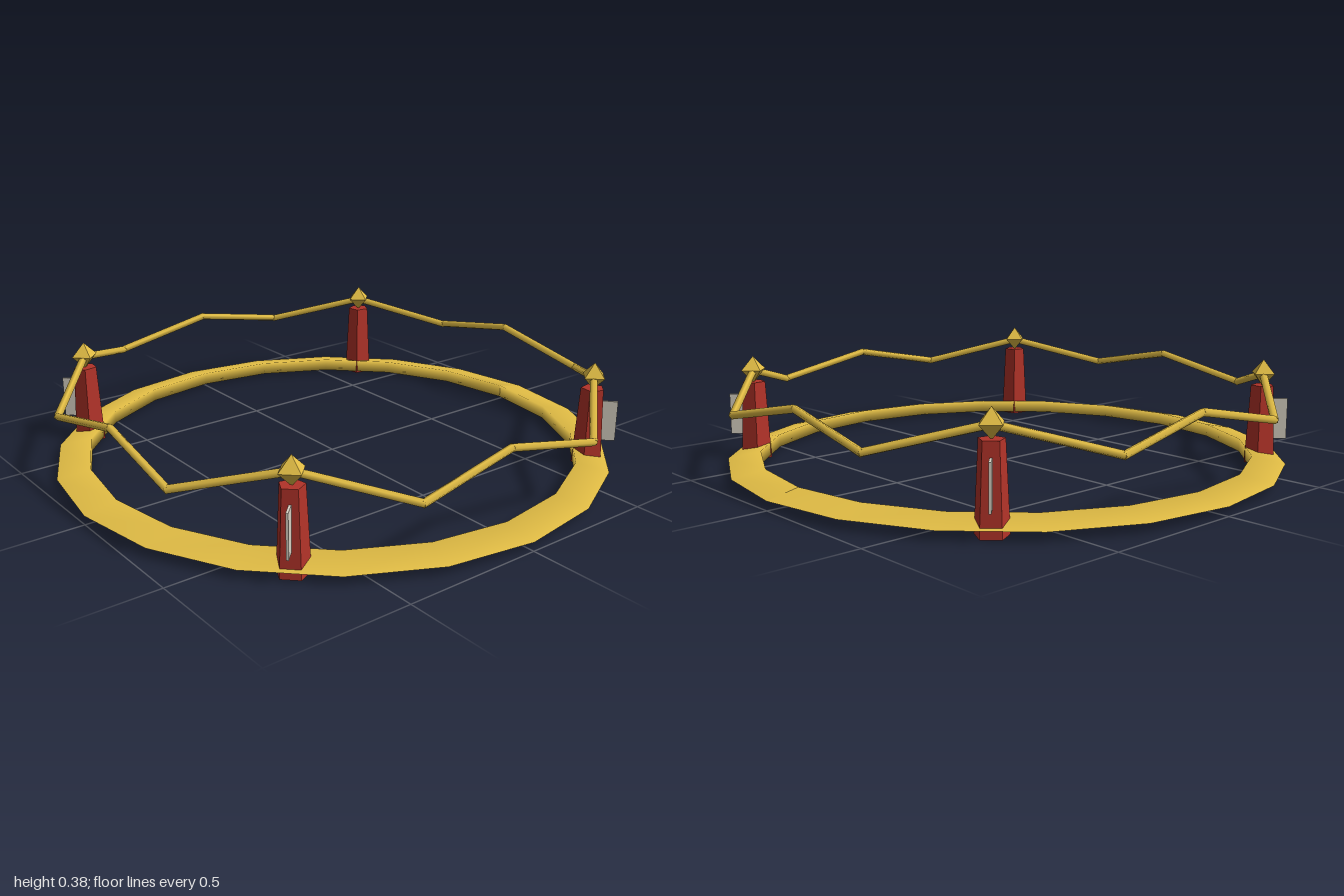
import * as THREE from 'three';

const gold = new THREE.MeshStandardMaterial({ color: 0xe2bd45 });
const goldFlat = new THREE.MeshStandardMaterial({ color: 0xe2bd45, flatShading: true });
const red = new THREE.MeshStandardMaterial({ color: 0xb23329, flatShading: true });
const ivory = new THREE.MeshStandardMaterial({ color: 0xd8d2c4 });

function add(parent, name, geometry, material, x = 0, y = 0, z = 0) {
  const mesh = new THREE.Mesh(geometry, material);
  mesh.name = name;
  mesh.position.set(x, y, z);
  parent.add(mesh);
  return mesh;
}

// Straight rod between two points
function addRod(parent, a, b) {
  const dir = b.clone().sub(a);
  const mid = a.clone().add(b).multiplyScalar(0.5);
  const rod = add(parent, 'garlandRod', new THREE.CylinderGeometry(0.014, 0.014, dir.length() + 0.008, 5), gold, mid.x, mid.y, mid.z);
  rod.quaternion.setFromUnitVectors(new THREE.Vector3(0, 1, 0), dir.normalize());
}

export function createModel() {
  const model = new THREE.Group();
  model.name = 'ropedRing';

  // Base ring: wedge section, flat wall inside and sharp rim outside
  const ringGeometry = new THREE.TorusGeometry(0.923, 0.077, 3, 20);
  ringGeometry.rotateX(Math.PI / 2);
  ringGeometry.scale(1, 0.36, 1);
  ringGeometry.computeVertexNormals();
  add(model, 'baseRing', ringGeometry, gold, 0, 0.031, 0);

  // One quarter of the zigzag garland, between neighbouring posts
  const path = [
    [0.655, 0.325, 0.655], [0.37, 0.233, 0.9], [0, 0.307, 0.89],
    [-0.37, 0.233, 0.9], [-0.655, 0.325, 0.655],
  ].map((p) => new THREE.Vector3(...p));

  for (let i = 0; i < 4; i++) {
    const quarter = new THREE.Group();
    quarter.name = 'garlandAndPost';
    quarter.rotation.y = i * Math.PI / 2;
    model.add(quarter);

    for (let j = 0; j < path.length - 1; j++) addRod(quarter, path[j], path[j + 1]);

    // Post group turned so its local +z points outward
    const post = new THREE.Group();
    post.name = 'post';
    post.position.set(0.655, 0, 0.655);
    post.rotation.y = Math.PI / 4;
    quarter.add(post);

    const shaft = add(post, 'postShaft', new THREE.CylinderGeometry(0.042, 0.056, 0.285, 5), red, 0, 0.1425, 0);
    shaft.rotation.y = Math.PI;
    add(post, 'outerPlate', new THREE.BoxGeometry(0.008, 0.148, 0.07), ivory, 0, 0.163, 0.056);

    // Pointed finial
    add(quarter, 'finial', new THREE.OctahedronGeometry(0.049), goldFlat, 0.655, 0.329, 0.655);
  }
  return model;
}
